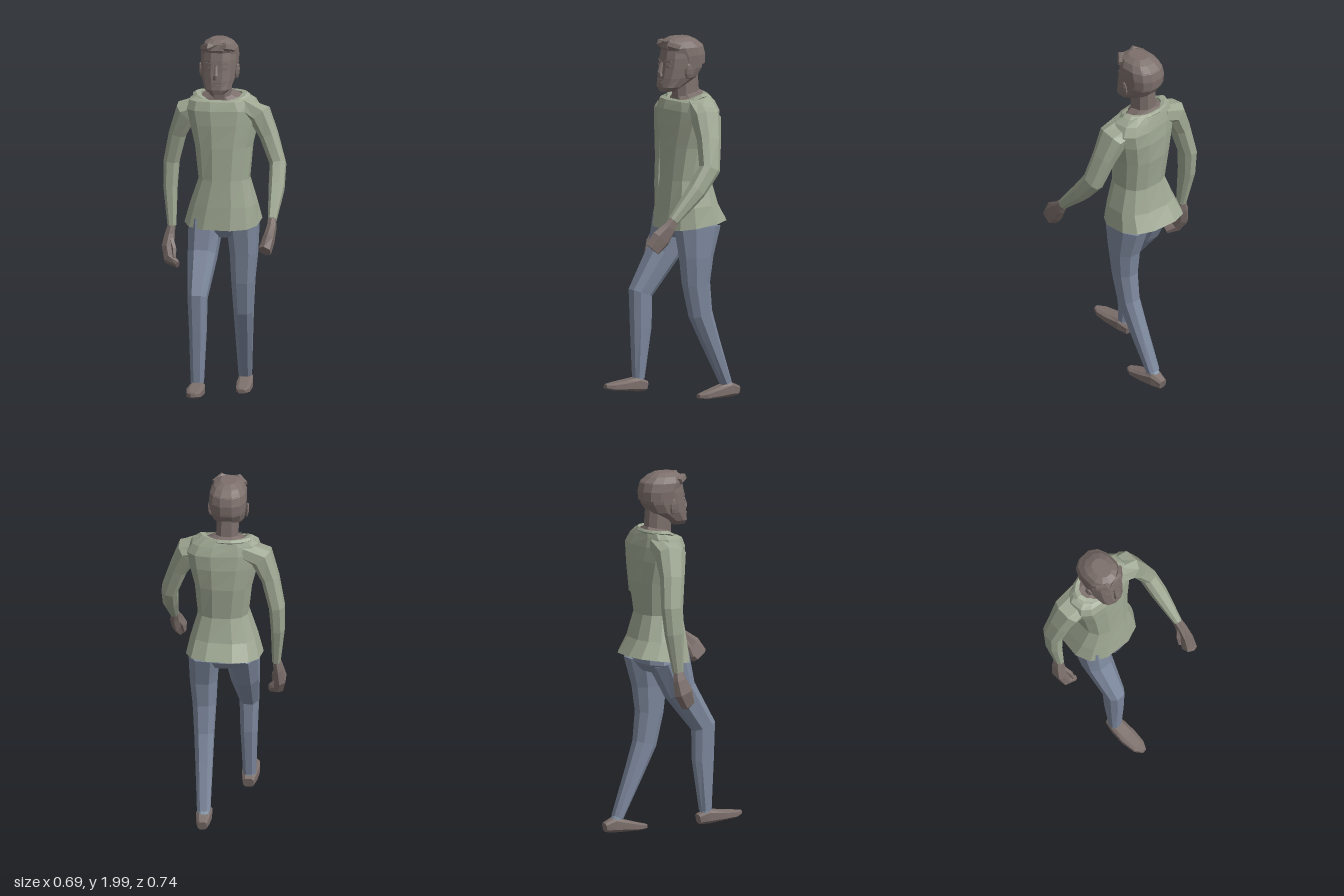
import * as THREE from 'three';

const paint = (name, color) => {
  const m = new THREE.MeshStandardMaterial({ color, flatShading: true, side: THREE.DoubleSide });
  m.name = name;
  return m;
};

// Skin a run of rings [x, y, z, ru, rv, yaw, slope].
// level: rings stay horizontal (ru = x, rv = z); otherwise they follow the path.
function loft(rings, { n = 8, level = false, power = 0.8, caps = true } = {}) {
  const pos = [], idx = [];
  const at = i => new THREE.Vector3(...rings[Math.max(0, Math.min(rings.length - 1, i))].slice(0, 3));
  const sp = v => Math.sign(v) * Math.pow(Math.abs(v), power);
  rings.forEach(([x, y, z, ru, rv, yaw = 0, slope = 0], i) => {
    const T = level ? new THREE.Vector3(0, 1, 0) : at(i + 1).sub(at(i - 1)).normalize();
    const U = new THREE.Vector3(1, 0, 0).addScaledVector(T, -T.x).normalize();
    if (level) U.applyAxisAngle(T, yaw);
    const V = T.clone().cross(U);
    for (let j = 0; j < n; j++) {
      const a = (j + 0.5) / n * Math.PI * 2;
      const p = new THREE.Vector3().addScaledVector(U, ru * sp(Math.cos(a))).addScaledVector(V, rv * sp(Math.sin(a)));
      pos.push(x + p.x, y + p.y + slope * p.z, z + p.z);
    }
  });
  for (let i = 0; i < rings.length - 1; i++)
    for (let j = 0; j < n; j++) {
      const a = i * n + j, b = i * n + (j + 1) % n;
      idx.push(a, b, b + n, a, b + n, a + n);
    }
  if (caps) {
    const end = (rings.length - 1) * n;
    for (let j = 1; j < n - 1; j++) idx.push(0, j + 1, j, end, end + j, end + j + 1);
  }
  const g = new THREE.BufferGeometry();
  g.setAttribute('position', new THREE.Float32BufferAttribute(pos, 3));
  g.setIndex(idx);
  const flat = g.toNonIndexed();
  flat.computeVertexNormals();
  return flat;
}

export function createModel() {
  const model = new THREE.Group();
  const skin = paint('brown skin', 0x7c6f6b);
  const shirt = paint('sage shirt', 0x9ea792);
  const denim = paint('blue denim', 0x7d889d);
  const sock = paint('pale blue sock', 0x8798ab);
  const add = (name, geo, mat, x = 0, y = 0, z = 0) => {
    const m = new THREE.Mesh(geo, mat);
    m.name = name;
    m.position.set(x, y, z);
    model.add(m);
    return m;
  };

  // Shirt body, flared at an open hem
  add('shirtBody', loft([
    [-0.01, 0.975, -0.11, 0.208, 0.187, -0.08, -0.13],
    [-0.005, 1.08, -0.09, 0.183, 0.15, -0.05, -0.05],
    [0, 1.22, -0.08, 0.14, 0.122],
    [-0.003, 1.4, -0.095, 0.16, 0.125, 0.05],
    [-0.003, 1.52, -0.1, 0.19, 0.122, 0.1],
    [-0.005, 1.6, -0.1, 0.208, 0.115, 0.12],
    [-0.012, 1.65, -0.1, 0.185, 0.1, 0.1],
    [-0.018, 1.675, -0.1, 0.14, 0.085, 0.05, -0.2],
  ], { n: 12, level: true, power: 0.75, caps: false }), shirt);

  // Collar: a squashed ring that dips at the throat
  const collar = new THREE.TorusGeometry(0.12, 0.022, 5, 14).rotateX(Math.PI / 2).scale(1.12, 0.6, 0.7);
  const cp = collar.attributes.position;
  for (let i = 0; i < cp.count; i++) cp.setY(i, cp.getY(i) - Math.max(0, cp.getZ(i)) * 0.5);
  collar.computeVertexNormals();
  add('collar', collar, shirt, -0.018, 1.68, -0.1);
  add('throat', loft([
    [-0.018, 1.66, -0.1, 0.135, 0.085, 0, -0.3], [-0.022, 1.69, -0.1, 0.062, 0.072, 0, -0.2],
  ], { level: true }), skin);

  // Sleeves: left swings forward, right hangs back
  add('leftSleeve', loft([
    [0.1, 1.61, -0.1, 0.055, 0.085], [0.195, 1.57, -0.085, 0.068, 0.085], [0.247, 1.46, -0.07, 0.052, 0.068],
    [0.3, 1.31, -0.038, 0.046, 0.06], [0.305, 1.2, 0.05, 0.044, 0.052], [0.301, 1.045, 0.2, 0.024, 0.03],
  ]), shirt);
  add('rightSleeve', loft([
    [-0.11, 1.61, -0.11, 0.055, 0.085], [-0.215, 1.57, -0.115, 0.068, 0.085], [-0.263, 1.45, -0.13, 0.05, 0.068],
    [-0.3, 1.29, -0.15, 0.044, 0.06], [-0.305, 1.15, -0.14, 0.039, 0.053], [-0.293, 0.935, -0.11, 0.024, 0.03],
  ]), shirt);

  // Hands
  add('leftHand', loft([
    [0.3, 1.06, 0.185, 0.022, 0.027], [0.302, 1.01, 0.225, 0.026, 0.04], [0.294, 0.955, 0.275, 0.03, 0.06],
    [0.278, 0.898, 0.322, 0.035, 0.05],
  ], { n: 6 }), skin);
  add('leftThumb', loft([
    [0.29, 1.0, 0.23, 0.014, 0.016], [0.265, 0.95, 0.25, 0.014, 0.015], [0.255, 0.9, 0.27, 0.009, 0.01],
  ], { n: 5 }), skin);
  add('rightHand', loft([
    [-0.293, 0.95, -0.112, 0.02, 0.025], [-0.303, 0.89, -0.105, 0.028, 0.04], [-0.312, 0.82, -0.085, 0.034, 0.055],
    [-0.3, 0.76, -0.055, 0.032, 0.045], [-0.25, 0.735, -0.03, 0.016, 0.025],
  ], { n: 6 }), skin);
  add('rightThumb', loft([
    [-0.292, 0.87, -0.08, 0.014, 0.016], [-0.272, 0.82, -0.045, 0.014, 0.015], [-0.268, 0.775, -0.025, 0.009, 0.01],
  ], { n: 5 }), skin);

  // Trousers
  add('trouserSeat', loft([
    [0, 0.9, -0.08, 0.14, 0.085], [0, 0.95, -0.085, 0.182, 0.125], [0, 1.08, -0.085, 0.15, 0.12],
  ], { n: 10, level: true }), denim);
  add('leftTrouserLeg', loft([
    [0.1, 0.97, -0.09, 0.09, 0.135], [0.108, 0.8, -0.078, 0.077, 0.095], [0.104, 0.65, -0.08, 0.066, 0.077],
    [0.102, 0.48, -0.11, 0.056, 0.066], [0.096, 0.33, -0.175, 0.049, 0.052], [0.086, 0.085, -0.285, 0.038, 0.031],
  ]), denim);
  add('rightTrouserLeg', loft([
    [-0.1, 0.97, -0.065, 0.095, 0.115], [-0.11, 0.8, -0.005, 0.082, 0.088], [-0.118, 0.59, 0.136, 0.055, 0.068],
    [-0.116, 0.4, 0.135, 0.048, 0.06], [-0.117, 0.12, 0.15, 0.037, 0.032],
  ]), denim);

  // Socks and shoes
  add('leftSock', loft([[0.086, 0.1, -0.28, 0.03, 0.025], [0.087, 0.06, -0.3, 0.032, 0.028]]), sock);
  add('rightSock', loft([[-0.117, 0.14, 0.15, 0.03, 0.025], [-0.116, 0.095, 0.15, 0.032, 0.028]]), sock);
  add('leftShoe', loft([
    [0.086, 0.035, -0.362, 0.026, 0.026], [0.088, 0.047, -0.305, 0.04, 0.042], [0.09, 0.036, -0.23, 0.045, 0.031],
    [0.092, 0.024, -0.145, 0.04, 0.019], [0.09, 0.022, -0.105, 0.02, 0.012],
  ], { power: 0.6 }), skin);
  add('rightShoe', loft([
    [-0.115, 0.075, 0.107, 0.03, 0.028], [-0.115, 0.088, 0.165, 0.044, 0.04], [-0.116, 0.088, 0.25, 0.049, 0.028],
    [-0.114, 0.088, 0.33, 0.04, 0.02], [-0.11, 0.093, 0.37, 0.015, 0.012],
  ], { power: 0.6 }), skin);

  // Neck and head
  add('neck', loft([[-0.02, 1.6, -0.1, 0.064, 0.075], [-0.025, 1.8, -0.09, 0.06, 0.072]]), skin);
  add('head', loft([
    [-0.025, 1.705, 0.025, 0.04, 0.042], [-0.025, 1.73, 0.008, 0.072, 0.065], [-0.025, 1.78, -0.042, 0.09, 0.11],
    [-0.025, 1.83, -0.063, 0.097, 0.123], [-0.025, 1.89, -0.073, 0.1, 0.125], [-0.025, 1.95, -0.075, 0.093, 0.115],
    [-0.025, 1.98, -0.07, 0.065, 0.08],
  ], { n: 12, level: true, power: 0.82 }), skin);

  // Hair cap with a swept quiff
  add('hair', loft([
    [-0.025, 1.85, -0.093, 0.1, 0.108], [-0.025, 1.9, -0.088, 0.104, 0.117], [-0.025, 1.945, -0.072, 0.1, 0.122],
    [-0.025, 1.978, -0.056, 0.08, 0.098], [-0.025, 1.998, -0.055, 0.045, 0.06],
  ], { n: 12, level: true, power: 0.85 }), skin);
  add('quiff', loft([
    [-0.108, 1.95, -0.005, 0.018, 0.018], [-0.07, 1.965, 0.036, 0.021, 0.024],
    [0.02, 1.968, 0.036, 0.021, 0.024], [0.058, 1.95, -0.005, 0.018, 0.018],
  ], { n: 6 }), skin);

  // Face
  add('nose', loft([
    [-0.028, 1.865, 0.05, 0.008, 0.012], [-0.028, 1.81, 0.07, 0.013, 0.014], [-0.028, 1.79, 0.066, 0.018, 0.014],
  ], { n: 6 }), skin);
  add('upperLip', new THREE.BoxGeometry(0.056, 0.008, 0.009), skin, -0.026, 1.768, 0.066);
  add('lowerLip', new THREE.BoxGeometry(0.042, 0.01, 0.009), skin, -0.026, 1.755, 0.067);
  for (const s of [-1, 1]) {
    const side = s > 0 ? 'left' : 'right', x = -0.026 + s * 0.042;
    const eye = add(side + 'Eye', new THREE.CylinderGeometry(0.016, 0.016, 0.009, 8).rotateX(Math.PI / 2).scale(1, 0.5, 1),
      skin, x, 1.846, 0.046);
    const brow = add(side + 'Brow', new THREE.BoxGeometry(0.04, 0.009, 0.009), skin, x, 1.872, 0.043);
    eye.rotation.y = brow.rotation.y = s * 0.4;
    const ear = add(side + 'Ear', new THREE.SphereGeometry(1, 7, 5).scale(0.011, 0.044, 0.024),
      skin, -0.025 + s * 0.1, 1.818, -0.05);
    ear.rotation.y = -s * 0.3;
    ear.rotation.z = -s * 0.1;
  }
  return model;
}
